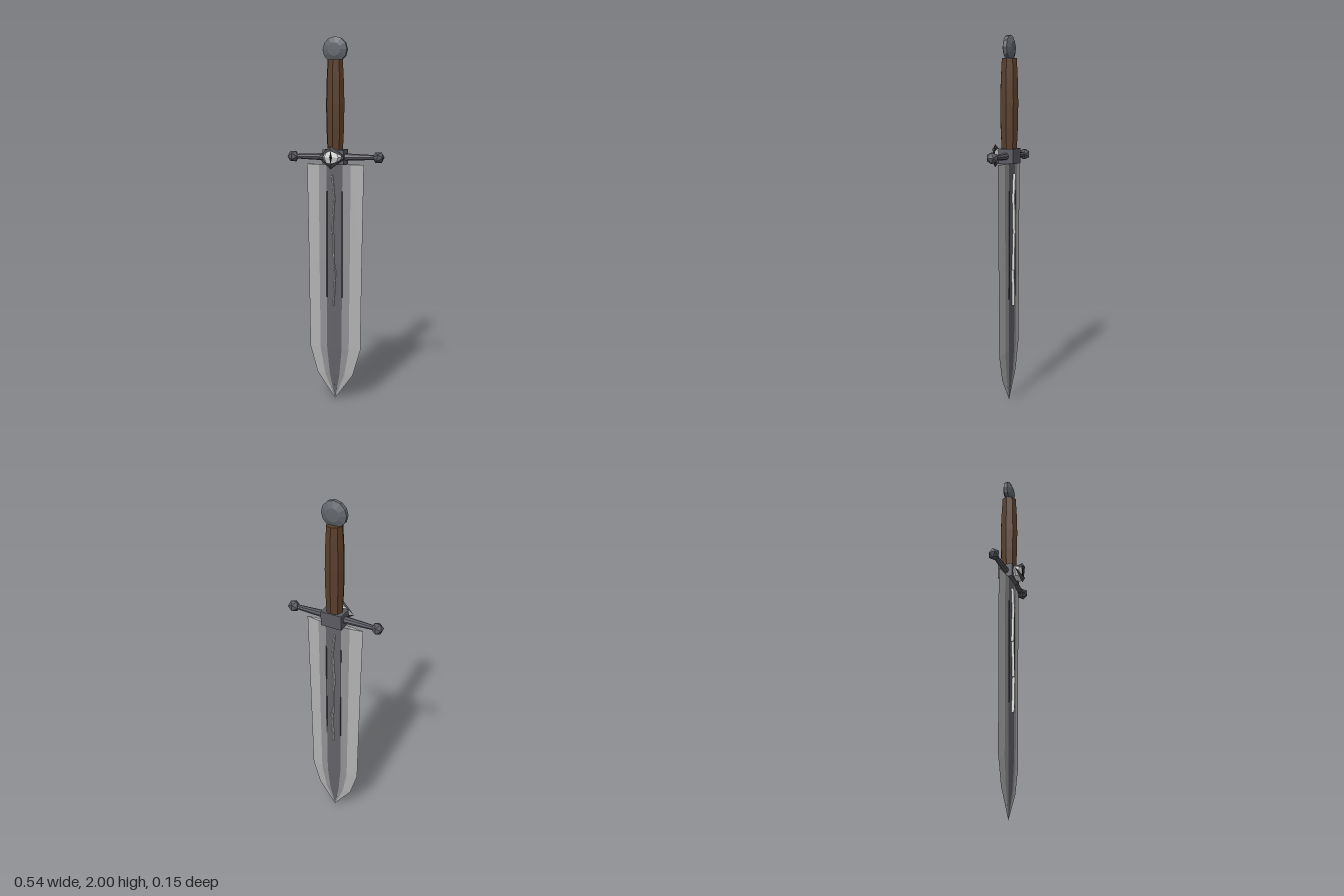
import * as THREE from 'three';

const mat = (name, color, side = THREE.FrontSide) => {
  const m = new THREE.MeshStandardMaterial({ color, side, flatShading: true });
  m.name = name;
  return m;
};

export function createModel() {
  const steelEdge = mat('bright edge steel', 0xb2b2b2, THREE.DoubleSide);
  const steelMid = mat('blade steel', 0x929296, THREE.DoubleSide);
  const steelCore = mat('dark core steel', 0x626268, THREE.DoubleSide);
  const iron = mat('guard iron', 0x5a5a62);
  const pommelIron = mat('pommel iron', 0x62676d);
  const dark = mat('dark iron', 0x45454a, THREE.DoubleSide);
  const wood = mat('brown grip', 0x5a3f2b);
  const ivory = mat('pale eye', 0xd6d8d6);
  const black = mat('black pupil', 0x17171a);

  const root = new THREE.Group();
  root.name = 'dagger';
  const sword = new THREE.Group();
  sword.name = 'swordBody';
  sword.position.z = -0.023; // the eye stands out in front of the blade
  root.add(sword);

  const add = (name, geo, material, x = 0, y = 0, z = 0, parent = sword) => {
    const m = new THREE.Mesh(geo, material);
    m.name = name;
    m.position.set(x, y, z);
    parent.add(m);
    return m;
  };
  const fromTriangles = (pos) => {
    const g = new THREE.BufferGeometry();
    g.setAttribute('position', new THREE.Float32BufferAttribute(pos, 3));
    g.computeVertexNormals();
    return g;
  };
  const quad = (out, a, b, c, d) => out.push(...a, ...b, ...c, ...a, ...c, ...d);

  // Blade rows: y, half-widths of core, middle and edge, thickness factor
  const rows = [
    [1.33, 0.045, 0.09, 0.16, 1], [0.8, 0.044, 0.087, 0.152, 1], [0.3, 0.042, 0.082, 0.146, 0.9],
    [0.15, 0.028, 0.056, 0.103, 0.65], [0.005, 0, 0, 0, 0.05]];
  const depth = [0.019, 0.016, 0.011, 0.001];
  const band = (i) => {
    const out = [];
    const at = (r, k, sx, sz) => [k ? sx * rows[r][k] : 0, rows[r][0], sz * depth[k] * rows[r][4]];
    for (const sx of [1, -1]) {
      for (const sz of [1, -1]) for (let r = 0; r < rows.length - 1; r++) {
        const q = [at(r, i, sx, sz), at(r + 1, i, sx, sz), at(r + 1, i + 1, sx, sz), at(r, i + 1, sx, sz)];
        quad(out, ...(sx * sz > 0 ? q : q.reverse()));
      }
      const top = [at(0, i, sx, 1), at(0, i + 1, sx, 1), at(0, i + 1, sx, -1), at(0, i, sx, -1)];
      quad(out, ...(sx > 0 ? top : top.reverse()));
    }
    return fromTriangles(out);
  };
  add('bladeCore', band(0), steelCore);
  add('bladeMiddle', band(1), steelMid);
  add('bladeEdge', band(2), steelEdge);

  // Fuller ridges and the crooked inlay on both faces
  const crack = [[0.004, 1.275], [-0.01, 1.13], [0.001, 0.95], [-0.003, 0.75], [0.008, 0.55]];
  for (const s of [1, -1]) {
    for (const x of [0.043, -0.043])
      add('fullerRidge', new THREE.BoxGeometry(0.006, 0.59, 0.006), dark, x, 0.89, s * 0.017);
    for (let i = 0; i < crack.length - 1; i++) {
      const [x0, y0] = crack[i], [x1, y1] = crack[i + 1];
      const m = add('bladeInlay', new THREE.BoxGeometry(0.006, Math.hypot(x1 - x0, y1 - y0), 0.018),
        ivory, (x0 + x1) / 2, (y0 + y1) / 2, s * 0.024);
      m.rotation.z = Math.atan2(x0 - x1, y0 - y1);
    }
  }

  // Guard: centre block, tapered arms and faceted end knobs
  add('guardBlock', new THREE.BoxGeometry(0.116, 0.08, 0.084), iron, 0, 1.37, -0.002);
  for (const s of [1, -1]) {
    const arm = add('guardArm', new THREE.CylinderGeometry(0.012, 0.022, 0.24, 8), iron, s * 0.12, 1.37);
    arm.rotation.z = -s * Math.PI / 2;
    add('guardKnob', new THREE.IcosahedronGeometry(0.033, 0), iron, s * 0.24, 1.37);
  }

  // Eight-sided grip, swelling in the middle
  const profile = [[0, 1.38], [0.042, 1.38], [0.049, 1.52], [0.051, 1.65], [0.048, 1.77], [0.042, 1.88], [0, 1.88]];
  add('grip', new THREE.LatheGeometry(profile.map(p => new THREE.Vector2(...p)), 8), wood);

  // Disc pommel
  const disc = [[0, -0.025], [0.035, -0.024], [0.067, -0.01], [0.067, 0.01], [0.035, 0.024], [0, 0.025]];
  const pommel = add('pommel', new THREE.LatheGeometry(disc.map(p => new THREE.Vector2(...p)), 12), pommelIron, 0, 1.934);
  pommel.rotation.x = Math.PI / 2;

  // Eye ornament: faceted eyeball, slit pupil and two bent lids
  const eye = new THREE.Group();
  eye.name = 'eyeOrnament';
  eye.position.set(0, 1.37, 0);
  root.add(eye);
  const ball = add('eyeball', new THREE.SphereGeometry(1, 8, 4), ivory, 0, 0, 0.03, eye);
  ball.scale.set(0.054, 0.045, 0.03);
  const pupil = add('pupil', new THREE.OctahedronGeometry(1), black, 0, 0, 0.059, eye);
  pupil.scale.set(0.008, 0.034, 0.004);
  for (const s of [1, -1]) {
    const out = [];
    for (const x of [0.079, -0.079]) {
      const corner = [x, 0, 0.038], outer = [0, s * 0.062, 0.058];
      const inner = [0, s * 0.036, 0.073], back = [0, s * 0.045, 0.052];
      const faces = [[corner, inner, outer], [corner, outer, back], [corner, back, inner]];
      for (const f of faces) out.push(...(x * s > 0 ? f.reverse() : f).flat());
    }
    add(s > 0 ? 'upperLid' : 'lowerLid', fromTriangles(out), dark, 0, 0, 0, eye);
  }
  return root;
}
